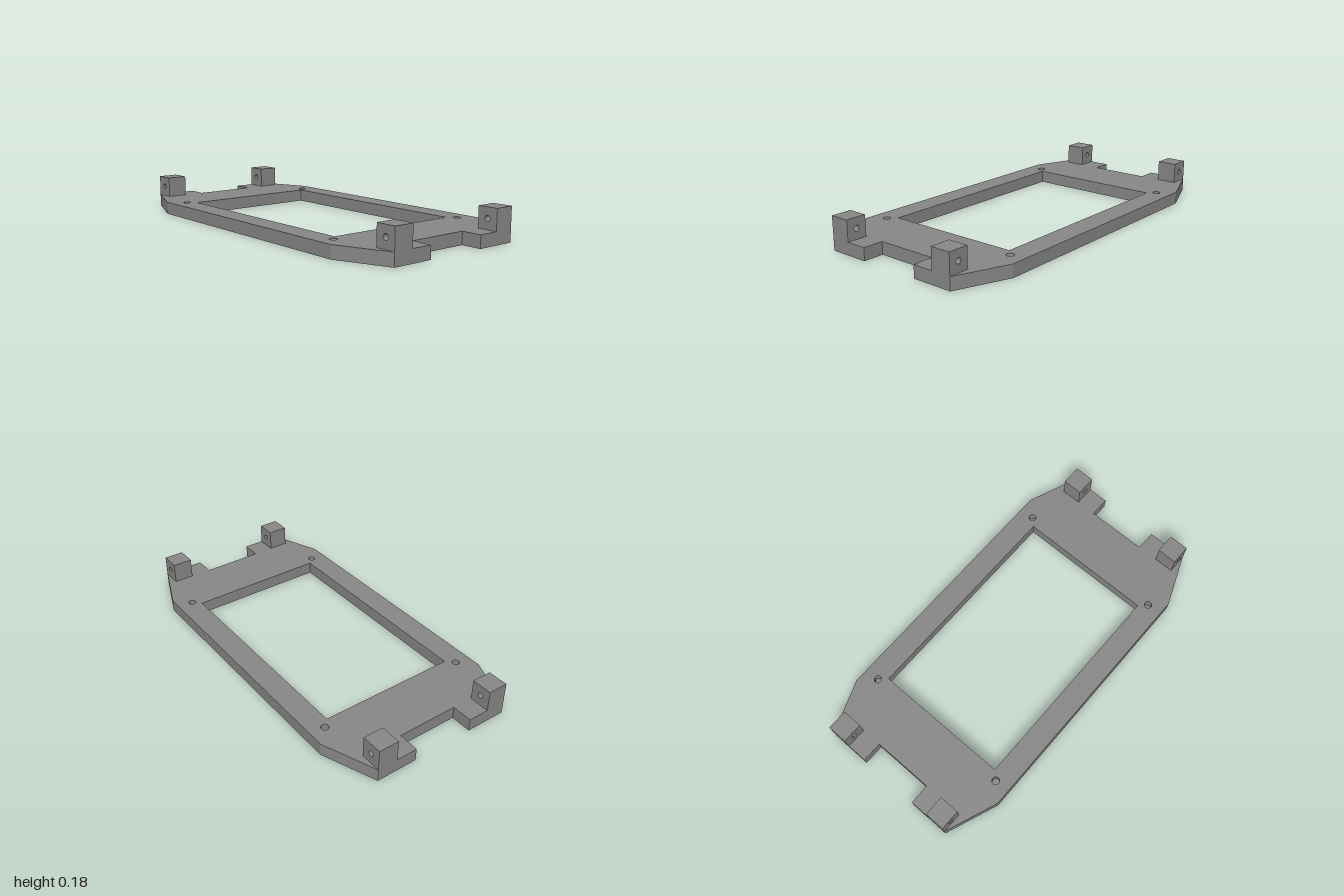
import * as THREE from 'three';

const T = 0.067;          // plate thickness
const FLOOR = 0.02;       // floor height of the blind screw holes
const SEG = 24;

const circlePath = (x, y, r) => new THREE.Path().absarc(x, y, r, 0, Math.PI * 2, true);
const polygon = (pts, Type = THREE.Shape) => new Type(pts.map(([x, y]) => new THREE.Vector2(x, y)));
const extrude = (shape, depth) =>
  new THREE.ExtrudeGeometry(shape, { depth, bevelEnabled: false, curveSegments: SEG });

export function createModel() {
  const group = new THREE.Group();
  const gray = new THREE.MeshStandardMaterial({ color: 0x888888 });
  gray.name = 'plain gray';

  const add = (name, geometry, x = 0, y = 0, z = 0) => {
    const mesh = new THREE.Mesh(geometry, gray);
    mesh.name = name;
    mesh.position.set(x, y, z);
    group.add(mesh);
  };

  // Plate outline: one quarter, mirrored round to chamfered corners and end notches
  const quarter = [[0.89, 0.167], [1, 0.167], [1, 0.389], [0.72, 0.5]];
  const mirror = (pts, sx, sy) => pts.map(([x, y]) => [x * sx, y * sy]);
  const reversed = [...quarter].reverse();
  const plate = polygon([
    ...quarter,
    ...mirror(reversed, -1, 1),
    ...mirror(quarter, -1, -1),
    ...mirror(reversed, 1, -1),
  ]);

  // Central window
  plate.holes.push(polygon([[-0.6, -0.376], [-0.6, 0.376], [0.6, 0.376], [0.6, -0.376]], THREE.Path));

  const corners = [[1, 1], [-1, 1], [-1, -1], [1, -1]];
  for (const [sx, sz] of corners) {
    const x = 0.64 * sx, z = 0.417 * sz;
    plate.holes.push(circlePath(x, -z, 0.02));

    // Closed bottom of the blind screw hole
    add('screwHoleFloor', new THREE.CircleGeometry(0.02, SEG).rotateX(-Math.PI / 2), x, FLOOR, z);
    add('screwHoleUnderside', new THREE.CircleGeometry(0.02, SEG).rotateX(Math.PI / 2), x, 0, z);

    // Upright mounting post, bored through from front to back
    const h = 0.178 - T, w = 0.11, d = 0.109;
    const post = polygon([[-w / 2, 0], [w / 2, 0], [w / 2, h], [-w / 2, h]]);
    post.holes.push(circlePath(0, h / 2, 0.015));
    add('mountingPost', extrude(post, d).translate(0, 0, -d / 2), 0.945 * sx, T, 0.3345 * sz);
  }

  add('basePlate', extrude(plate, T).rotateX(-Math.PI / 2));
  return group;
}
